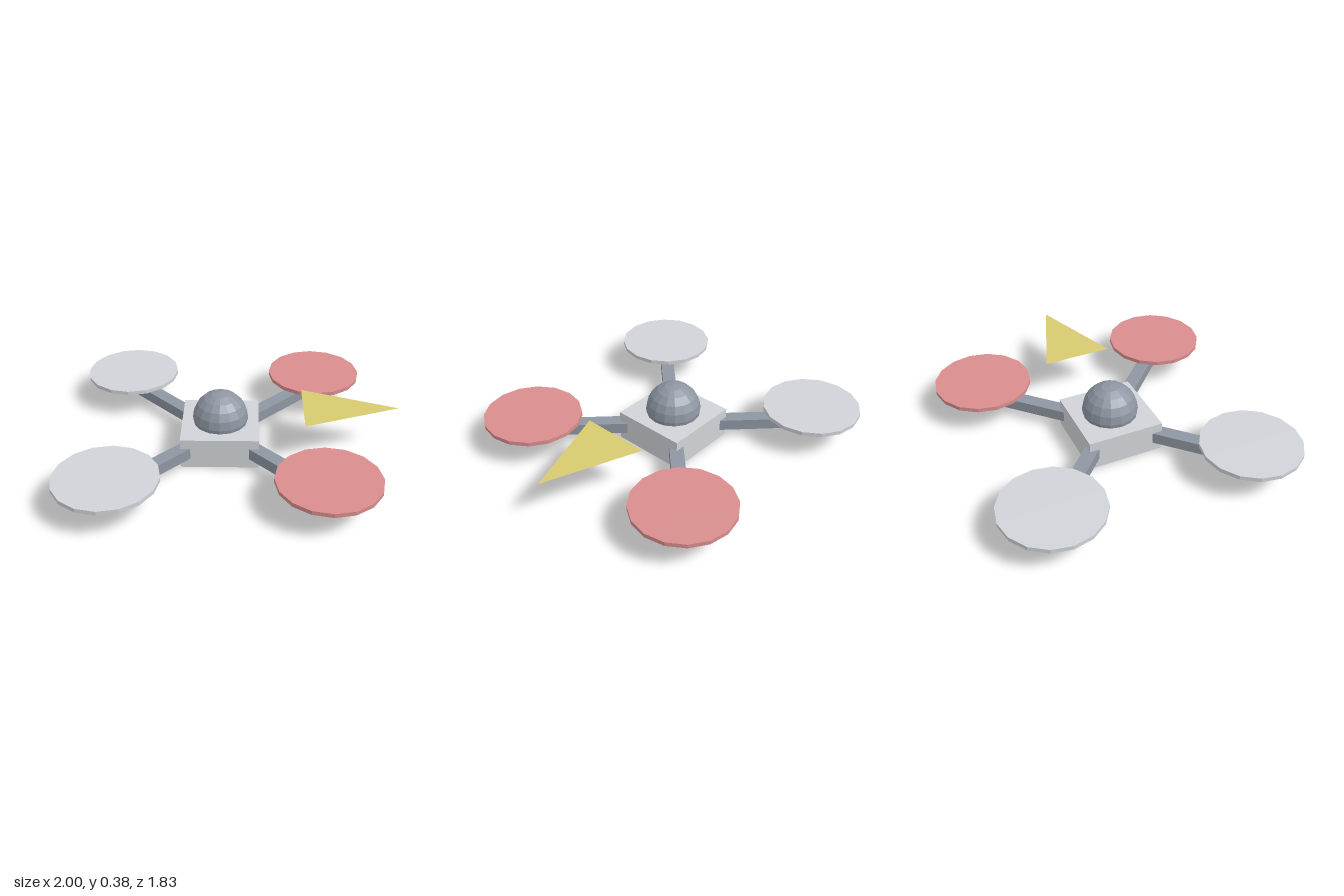
import * as THREE from 'three';

const flat = (name, color) => {
  const m = new THREE.MeshStandardMaterial({ color, flatShading: true });
  m.name = name;
  return m;
};

export function createModel() {
  const paleGrey = flat('paleGrey', 0xd0d3d8);
  const slate = flat('slate', 0x8e96a2);
  const red = flat('red', 0xd98d8d);
  const yellow = flat('yellow', 0xd8ca70);
  yellow.side = THREE.DoubleSide;

  const group = new THREE.Group();
  group.name = 'drone';
  const add = (name, geometry, material, x, y, z) => {
    const mesh = new THREE.Mesh(geometry, material);
    mesh.name = name;
    mesh.position.set(x, y, z);
    group.add(mesh);
    return mesh;
  };

  const cx = -0.085; // body centre
  const reach = 0.614; // rotor offset from the body centre on each axis

  // Body and dome
  add('body', new THREE.BoxGeometry(0.47, 0.19, 0.47), paleGrey, cx, 0.095, 0);
  add('dome', new THREE.SphereGeometry(0.17, 16, 10), slate, cx, 0.214, 0);

  // Four diagonal arms, each with a hub and a rotor disc
  const armLength = reach * Math.SQRT2;
  const armGeometry = new THREE.BoxGeometry(armLength, 0.07, 0.085);
  const hubGeometry = new THREE.CylinderGeometry(0.1, 0.1, 0.07, 10).rotateY(Math.PI / 2);
  const rotorGeometry = new THREE.CylinderGeometry(0.302, 0.302, 0.025, 16);
  for (const sx of [-1, 1]) {
    for (const sz of [-1, 1]) {
      const side = (sx > 0 ? 'left' : 'right') + (sz > 0 ? 'Front' : 'Back');
      const color = sx > 0 ? red : paleGrey;
      const arm = add(side + 'Arm', armGeometry, slate, cx + sx * reach / 2, 0.096, sz * reach / 2);
      arm.rotation.y = -sx * sz * Math.PI / 4;
      add(side + 'Hub', hubGeometry, color, cx + sx * reach, 0.145, sz * reach);
      add(side + 'Rotor', rotorGeometry, color, cx + sx * reach, 0.19, sz * reach);
    }
  }

  // Flat direction pointer floating beside the body
  const triangle = new THREE.Shape([
    new THREE.Vector2(0.42, -0.215),
    new THREE.Vector2(1, 0),
    new THREE.Vector2(0.42, 0.215),
  ]);
  add('pointer', new THREE.ShapeGeometry(triangle).rotateX(-Math.PI / 2), yellow, 0, 0.283, 0);

  return group;
}
